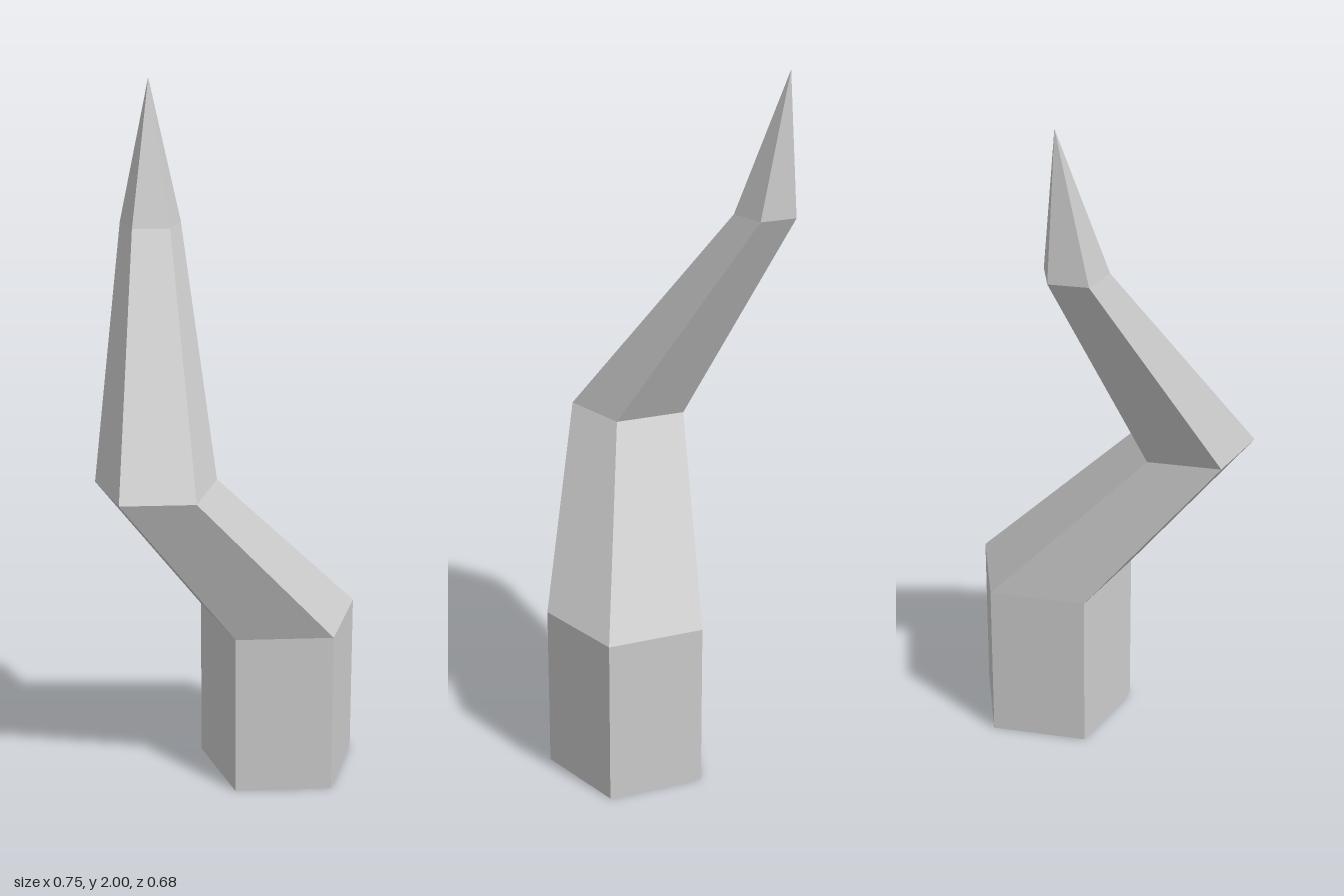
import * as THREE from 'three';

const SIDES = 5;

// Cross-sections of the bent spike: centre x, y, z and radius
const SECTIONS = [
  [0.149, 0, -0.027, 0.238],
  [0.149, 0.482, -0.027, 0.238],
  [-0.21, 0.96, 0.194, 0.177],
  [-0.209, 1.597, -0.247, 0.0915],
];
const TIP = [-0.209, 2, -0.31];

// Corner k of a pentagonal section, corner 0 pointing to the back
function corner([x, y, z, r], k) {
  const a = (k / SIDES) * Math.PI * 2;
  return [x + r * Math.sin(a), y, z - r * Math.cos(a)];
}

function spikeGeometry() {
  const positions = [];
  const tri = (a, b, c) => positions.push(...a, ...b, ...c);
  const last = SECTIONS.length - 1;

  for (let k = 0; k < SIDES; k++) {
    // Side walls between neighbouring sections
    for (let s = 0; s < last; s++) {
      const a = corner(SECTIONS[s], k), b = corner(SECTIONS[s], k + 1);
      const c = corner(SECTIONS[s + 1], k), d = corner(SECTIONS[s + 1], k + 1);
      tri(b, a, c);
      tri(b, c, d);
    }
    // Pointed end
    tri(corner(SECTIONS[last], k + 1), corner(SECTIONS[last], k), TIP);
    // Flat underside
    tri(SECTIONS[0].slice(0, 3), corner(SECTIONS[0], k), corner(SECTIONS[0], k + 1));
  }

  const geometry = new THREE.BufferGeometry();
  geometry.setAttribute('position', new THREE.Float32BufferAttribute(positions, 3));
  geometry.computeVertexNormals();
  return geometry;
}

export function createModel() {
  const model = new THREE.Group();
  model.name = 'bentSpike';
  const material = new THREE.MeshStandardMaterial({ color: 0xcccccc, flatShading: true });
  const spike = new THREE.Mesh(spikeGeometry(), material);
  spike.name = 'spike';
  model.add(spike);
  return model;
}
